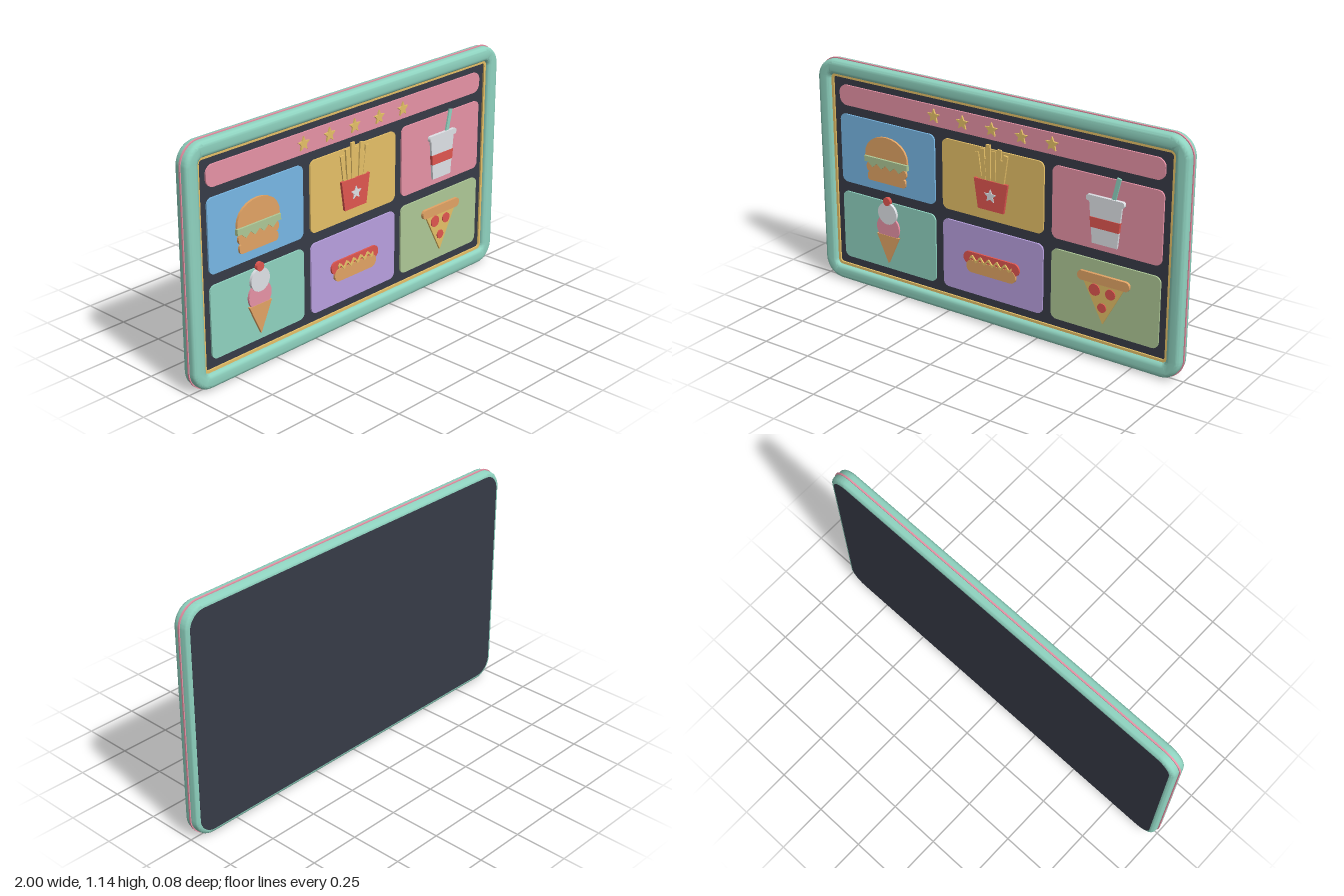
import * as THREE from 'three';
import { toCreasedNormals } from 'three/addons/utils/BufferGeometryUtils.js';

const mat = (name, color) => new THREE.MeshStandardMaterial({ name, color });

// Rounded rectangle centred on (cx, cy)
function roundRect(cx, cy, w, h, r, Type = THREE.Shape) {
  const s = new Type(), x = w / 2 - r, y = h / 2 - r;
  s.absarc(cx + x, cy + y, r, 0, Math.PI / 2);
  s.absarc(cx - x, cy + y, r, Math.PI / 2, Math.PI);
  s.absarc(cx - x, cy - y, r, Math.PI, Math.PI * 1.5);
  s.absarc(cx + x, cy - y, r, Math.PI * 1.5, Math.PI * 2);
  s.closePath();
  return s;
}

const polygon = (pts) => new THREE.Shape(pts.map(([x, y]) => new THREE.Vector2(x, y)));

function disc(x, y, r) {
  const s = new THREE.Shape();
  s.absarc(x, y, r, 0, Math.PI * 2);
  return s;
}

function star(x, y, r) {
  return polygon(Array.from({ length: 10 }, (_, i) => {
    const a = Math.PI / 2 + i * Math.PI / 5, k = i % 2 ? r * 0.45 : r;
    return [x + k * Math.cos(a), y + k * Math.sin(a)];
  }));
}

// Straight bar of a given width between two points
function stick(x0, y0, x1, y1, w) {
  const l = Math.hypot(x1 - x0, y1 - y0);
  const nx = -(y1 - y0) / l * w / 2, ny = (x1 - x0) / l * w / 2;
  return polygon([[x0 - nx, y0 - ny], [x1 - nx, y1 - ny], [x1 + nx, y1 + ny], [x0 + nx, y0 + ny]]);
}

export function createModel() {
  const model = new THREE.Group();
  model.name = 'menuBoard';

  const mint = mat('mint', 0x8fd3c0);
  const dark = mat('charcoal', 0x373b47);
  const pink = mat('pink', 0xee97ab);
  const blue = mat('blue', 0x78b8e6);
  const gold = mat('gold', 0xe6c067);
  const purple = mat('lavender', 0xb9a0e0);
  const sage = mat('sage', 0xaec896);
  const tan = mat('toastedBun', 0xe2a465);
  const red = mat('red', 0xe05650);
  const white = mat('white', 0xe2e5ea);

  // Extruded plate from z0 to z1
  function plate(parent, name, shape, z0, z1, material, bevel = 0) {
    let geo = new THREE.ExtrudeGeometry(shape, {
      depth: z1 - z0 - 2 * bevel, curveSegments: 12, bevelEnabled: bevel > 0,
      bevelThickness: bevel, bevelSize: bevel, bevelOffset: -bevel, bevelSegments: 4,
    });
    geo = toCreasedNormals(geo, 0.6);
    geo.translate(0, 0, z0 + bevel);
    const mesh = new THREE.Mesh(geo, material);
    mesh.name = name;
    parent.add(mesh);
    return mesh;
  }

  function group(name) {
    const g = new THREE.Group();
    g.name = name;
    model.add(g);
    return g;
  }

  const CY = 0.569;
  const SCREEN = 0.012, TILE = 0.02, ICON = 0.031, TOP = 0.036;

  // Frame with rounded edges, edge trim, screen and back
  const frame = roundRect(0, CY, 1.99, 1.128, 0.1);
  frame.holes.push(roundRect(0, CY, 1.85, 0.986, 0.025, THREE.Path));
  plate(model, 'frame', frame, -0.04, 0.04, mint, 0.02);
  const band = roundRect(0, CY, 2, 1.138, 0.105);
  band.holes.push(roundRect(0, CY, 1.9, 1.03, 0.06, THREE.Path));
  plate(model, 'edgeTrim', band, -0.004, 0.004, pink);
  plate(model, 'screen', roundRect(0, CY, 1.87, 1.0, 0.03), -0.03, SCREEN, dark);
  plate(model, 'backPanel', roundRect(0, CY, 1.945, 1.083, 0.08), -0.041, -0.03, dark);
  const trim = roundRect(0, CY, 1.85, 0.986, 0.022);
  trim.holes.push(roundRect(0, CY, 1.825, 0.961, 0.015, THREE.Path));
  plate(model, 'goldTrim', trim, SCREEN, TILE, gold);

  // Header with five stars
  const header = group('header');
  plate(header, 'headerBar', roundRect(0, 0.966, 1.755, 0.1, 0.04), SCREEN, TILE, pink);
  for (let i = -2; i <= 2; i++) plate(header, 'headerStar', star(i * 0.16, 0.966, 0.035), TILE, 0.028, gold);

  // Six menu tiles
  const tiles = group('tiles');
  [[blue, gold, pink], [mint, purple, sage]].forEach((row, j) => row.forEach((m, i) =>
    plate(tiles, 'tile', roundRect((i - 1) * 0.6, 0.698 - j * 0.396, 0.555, 0.345, 0.03), SCREEN, TILE, m)));

  // Burger
  const burger = group('burger');
  const dome = new THREE.Shape();
  dome.moveTo(-0.725, 0.695);
  dome.lineTo(-0.475, 0.695);
  dome.bezierCurveTo(-0.47, 0.84, -0.73, 0.84, -0.725, 0.695);
  plate(burger, 'topBun', dome, TILE, ICON, tan);
  plate(burger, 'patty', roundRect(-0.6, 0.64, 0.236, 0.05, 0.022), TILE, ICON, tan);
  plate(burger, 'bottomBun', roundRect(-0.6, 0.594, 0.225, 0.044, 0.015), TILE, ICON, tan);
  const leaf = [[-0.727, 0.692], [-0.727, 0.664]];
  for (let i = 0; i <= 8; i++) leaf.push([-0.705 + i * 0.02625, i % 2 ? 0.642 : 0.664]);
  leaf.push([-0.473, 0.664], [-0.473, 0.692]);
  plate(burger, 'lettuce', polygon(leaf.reverse()), TILE, TOP, sage);

  // Fries
  const fries = group('fries');
  [[-0.055, -0.082, 0.845], [-0.035, -0.05, 0.868], [-0.012, -0.016, 0.893], [0.008, 0.012, 0.865],
    [0.03, 0.045, 0.88], [0.05, 0.08, 0.858], [-0.02, -0.034, 0.82], [0.04, 0.062, 0.83]].forEach(([x0, x1, y], i) =>
    plate(fries, 'fry', stick(x0, 0.66, x1, y, 0.022), TILE, 0.026 + (i % 3) * 0.002, gold));
  plate(fries, 'friesBox', polygon([[-0.07, 0.578], [0.07, 0.578], [0.092, 0.722], [-0.092, 0.722]]), TILE, 0.032, red);
  plate(fries, 'boxStar', star(0, 0.65, 0.034), 0.032, TOP, white);

  // Drink cup
  const drink = group('drink');
  plate(drink, 'straw', stick(0.636, 0.77, 0.662, 0.882, 0.02), TILE, 0.028, mint);
  plate(drink, 'cup', polygon([[0.537, 0.557], [0.663, 0.557], [0.682, 0.756], [0.518, 0.756]]), TILE, ICON, white);
  plate(drink, 'lid', roundRect(0.6, 0.767, 0.19, 0.028, 0.01), TILE, TOP, white);
  plate(drink, 'cupBand', polygon([[0.529, 0.632], [0.671, 0.632], [0.676, 0.68], [0.524, 0.68]]), TILE, 0.034, red);

  // Ice cream
  const iceCream = group('iceCream');
  plate(iceCream, 'cone', polygon([[-0.6, 0.163], [-0.534, 0.305], [-0.666, 0.305]]), TILE, 0.032, tan);
  plate(iceCream, 'lowerScoop', disc(-0.6, 0.345, 0.067), TILE, 0.03, pink);
  plate(iceCream, 'upperScoop', disc(-0.6, 0.42, 0.055), TILE, 0.034, white);
  plate(iceCream, 'cherry', disc(-0.6, 0.482, 0.021), TILE, TOP, red);

  // Hot dog with a mustard wave
  const hotDog = group('hotDog');
  plate(hotDog, 'sausage', roundRect(0, 0.314, 0.31, 0.062, 0.03), TILE, 0.029, red);
  plate(hotDog, 'bun', roundRect(0, 0.275, 0.274, 0.062, 0.03), TILE, 0.032, tan);
  const wave = Array.from({ length: 41 }, (_, i) => [-0.115 + i * 0.00575, 0.315 + 0.011 * Math.sin(i * Math.PI / 4)]);
  const lower = wave.map(([x, y]) => [x, y - 0.006]);
  const upper = wave.map(([x, y]) => [x, y + 0.006]).reverse();
  plate(hotDog, 'mustard', polygon([...lower, ...upper]), 0.028, TOP, gold);

  // Pizza slice
  const pizza = group('pizza');
  plate(pizza, 'cheese', polygon([[0.6, 0.177], [0.712, 0.385], [0.488, 0.385]]), TILE, 0.029, gold);
  plate(pizza, 'crust', roundRect(0.6, 0.39, 0.264, 0.045, 0.02), TILE, 0.034, tan);
  [[0.557, 0.336, 0.028], [0.638, 0.332, 0.025], [0.597, 0.257, 0.022]].forEach(([x, y, r]) =>
    plate(pizza, 'pepperoni', disc(x, y, r), 0.028, 0.034, red));

  return model;
}
